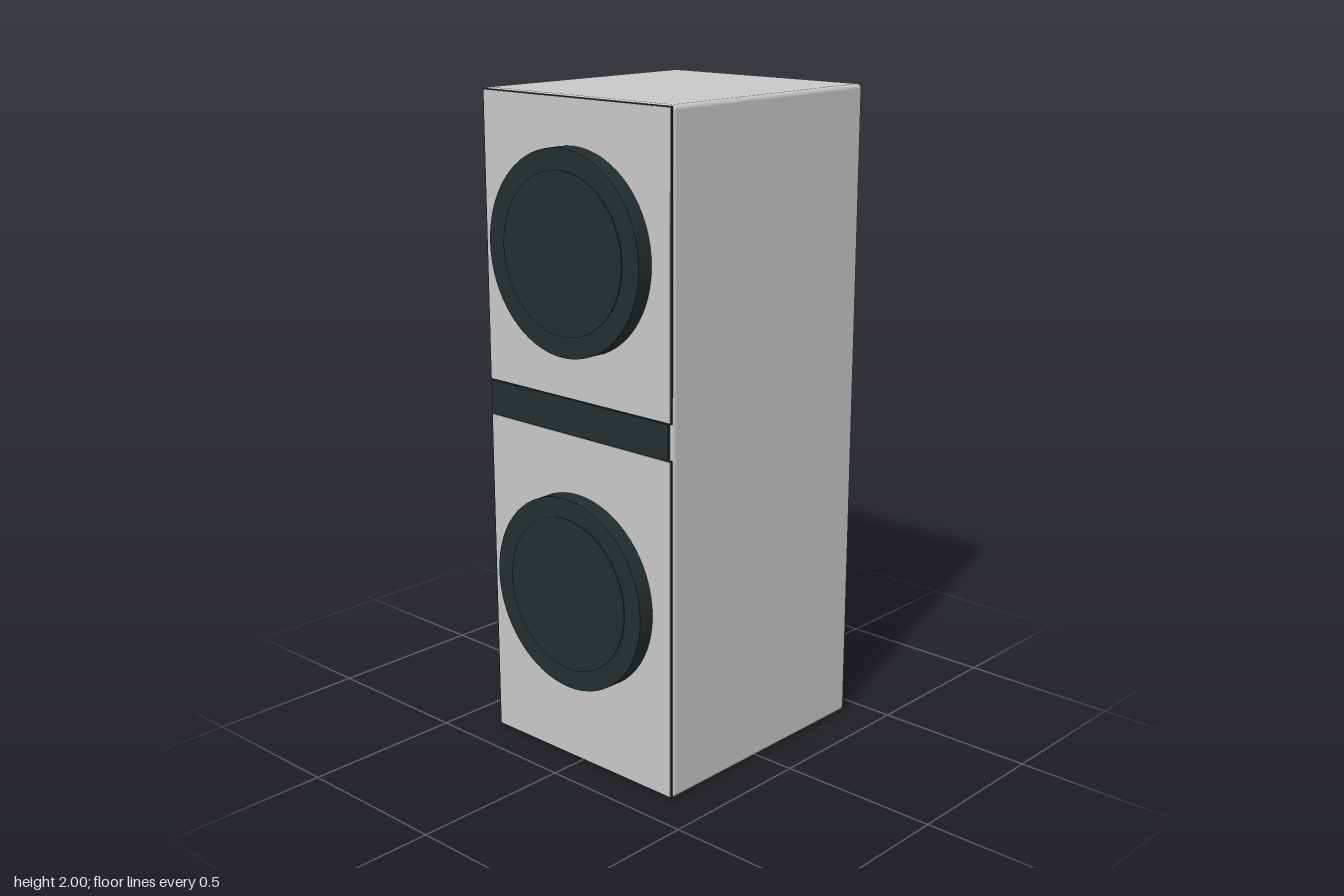
import * as THREE from 'three';
import { RoundedBoxGeometry } from 'three/addons/geometries/RoundedBoxGeometry.js';

export function createModel() {
  const model = new THREE.Group();
  model.name = 'stackedWasherDryer';

  const casing = new THREE.MeshStandardMaterial({ name: 'light grey casing', color: 0xc8c8c6 });
  const dark = new THREE.MeshStandardMaterial({ name: 'dark green grey', color: 0x222e2e });

  const add = (name, geometry, material, x, y, z, parent = model) => {
    const mesh = new THREE.Mesh(geometry, material);
    mesh.name = name;
    mesh.position.set(x, y, z);
    parent.add(mesh);
    return mesh;
  };

  // Tall cabinet with softly rounded edges, from z = -0.44 to 0.382
  add('cabinet', new RoundedBoxGeometry(0.742, 2, 0.822, 4, 0.014), casing, 0, 1, -0.029);

  // Front panels, each with a fine dark seam around it
  const panels = [['lower', 0.003, 1.03], ['upper', 1.135, 1.997]];
  for (const [name, bottom, top] of panels) {
    const h = top - bottom, y = (top + bottom) / 2;
    add(name + 'Seam', new THREE.BoxGeometry(0.736, h, 0.004), dark, 0, y, 0.382);
    add(name + 'FrontPanel', new THREE.BoxGeometry(0.728, h - 0.007, 0.005), casing, 0, y, 0.3835);
  }

  // Control strip between the two machines
  add('controlStrip', new THREE.BoxGeometry(0.72, 0.105, 0.012), dark, 0, 1.0825, 0.384);

  // Round doors: a thick disc with a slightly raised centre, turned about z
  const profile = [[0.296, 0], [0.296, 0.051], [0.235, 0.051], [0.235, 0.054], [0, 0.054]];
  for (const [name, y] of [['lower', 0.555], ['upper', 1.567]]) {
    const door = new THREE.Group();
    door.name = name + 'Door';
    door.position.set(0, y, 0.386);
    door.rotation.x = Math.PI / 2;
    const points = profile.map(([r, d]) => new THREE.Vector2(r, d));
    // One lathe per profile segment keeps the edges crisp
    for (let i = 0; i < points.length - 1; i++) {
      add('doorSurface', new THREE.LatheGeometry([points[i], points[i + 1]], 64), dark, 0, 0, 0, door);
    }
    model.add(door);
  }

  return model;
}
